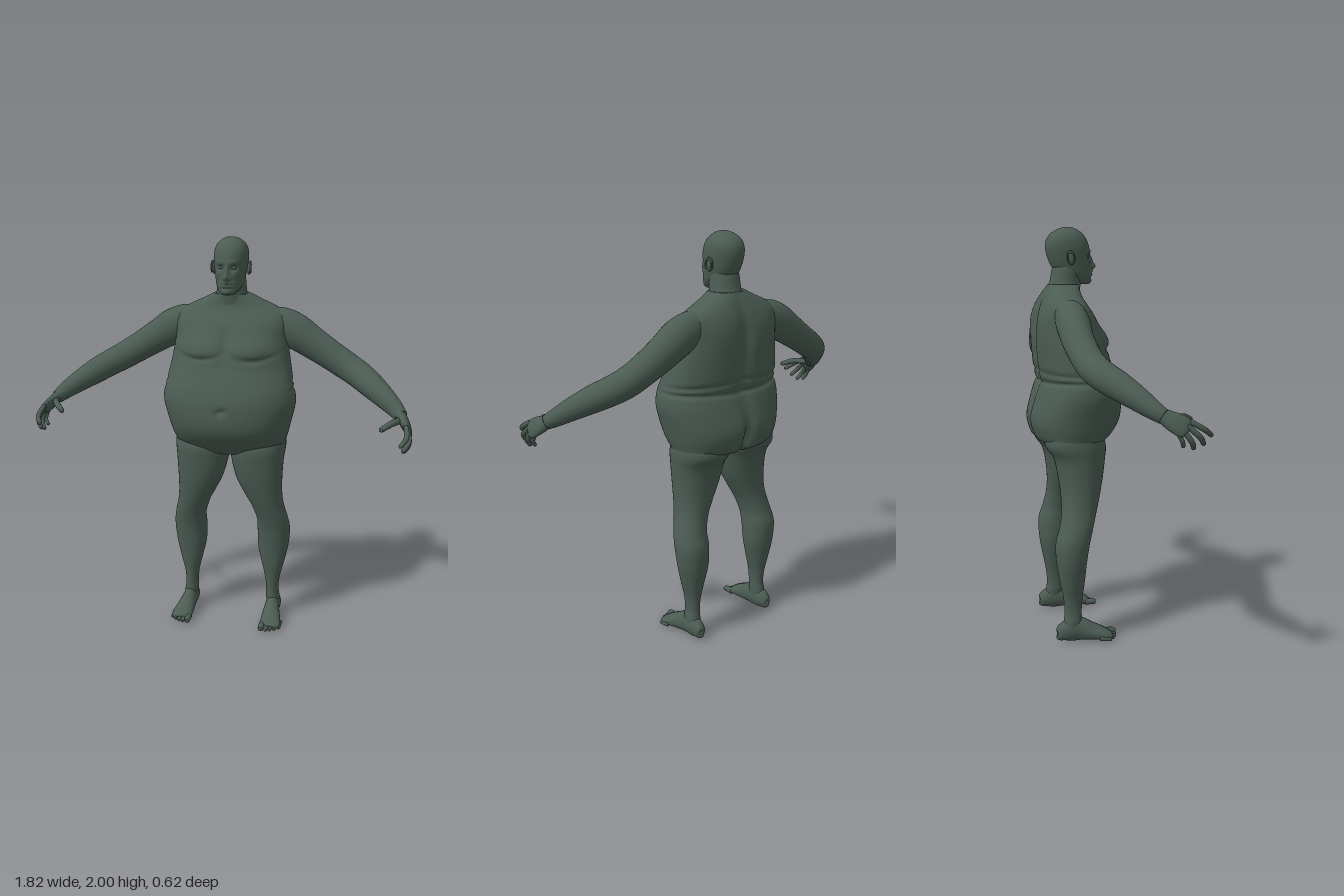
import * as THREE from 'three';

const skin = new THREE.MeshStandardMaterial({ color: 0x4b5c53, roughness: 0.8 });
const bell = (d, w) => Math.exp(-(d * d) / (w * w));

// Smooth interpolation through a list of equally long key rows
function sample(keys, t) {
  const f = t * (keys.length - 1), i = Math.min(Math.floor(f), keys.length - 2), u = f - i;
  const at = k => keys[Math.max(0, Math.min(keys.length - 1, k))];
  const [a, b, c, d] = [at(i - 1), at(i), at(i + 1), at(i + 2)];
  return b.map((_, k) => b[k] + 0.5 * u * (c[k] - a[k]
    + u * (2 * a[k] - 5 * b[k] + 4 * c[k] - d[k] + u * (3 * (b[k] - c[k]) + d[k] - a[k]))));
}

// Closed skin over rings; ring(t, angle) gives a point, both ends are capped
function skinOver(rows, cols, ring) {
  const pos = [], index = [];
  for (let i = 0; i <= rows; i++)
    for (let j = 0; j < cols; j++) pos.push(...ring(i / rows, j / cols * Math.PI * 2).toArray());
  for (let i = 0; i < rows; i++)
    for (let j = 0; j < cols; j++) {
      const k = (j + 1) % cols, a = i * cols + j, b = i * cols + k;
      index.push(a, b, b + cols, a, b + cols, a + cols);
    }
  for (const row of [0, rows]) {
    const mid = new THREE.Vector3(), c = pos.length / 3, s = row * cols;
    for (let j = 0; j < cols; j++) mid.add(new THREE.Vector3().fromArray(pos, (s + j) * 3));
    pos.push(...mid.divideScalar(cols).toArray());
    for (let j = 0; j < cols; j++) {
      const a = s + j, b = s + (j + 1) % cols;
      index.push(c, ...(row ? [a, b] : [b, a]));
    }
  }
  const g = new THREE.BufferGeometry();
  g.setAttribute('position', new THREE.Float32BufferAttribute(pos, 3));
  g.setIndex(index);
  g.computeVertexNormals();
  return g;
}

// Level rings going up, keys: [y, xMin, xMax, zFront, zBack]
function column(keys, rows, cols, power = 1, sculpt = () => {}) {
  return skinOver(rows, cols, (t, ang) => {
    const [y, x0, x1, zf, zb] = sample(keys, t);
    const round = v => Math.sign(v) * Math.abs(v) ** power;
    const p = new THREE.Vector3((x0 + x1) / 2 + (x1 - x0) / 2 * round(Math.cos(ang)), y,
      (zf + zb) / 2 - (zf - zb) / 2 * round(Math.sin(ang)));
    sculpt(p, -Math.sin(ang), (zf + zb) / 2);
    return p;
  });
}

// Rings across a path, keys: [x, y, z, radius across, radius along ref]
function limb(keys, ref = [0, 1, 0], rows = 30, cols = 24) {
  const up = new THREE.Vector3(...ref);
  const centre = t => new THREE.Vector3(...sample(keys, Math.max(0, Math.min(1, t))).slice(0, 3));
  return skinOver(rows, cols, (t, ang) => {
    const T = centre(t + 0.01).sub(centre(t - 0.01)).normalize();
    const U = up.clone().cross(T).normalize(), V = T.clone().cross(U);
    const [, , , a, b] = sample(keys, t);
    return centre(t).addScaledVector(U, Math.max(a, 0.001) * Math.cos(ang))
      .addScaledVector(V, Math.max(b, 0.001) * Math.sin(ang));
  });
}

// Finger or toe: three joints with a rounded tip
function digit([a, m, b], r, ref) {
  const tip = b.map((v, i) => v + (b[i] - m[i]) * 0.12), ball = b.map((v, i) => v - (b[i] - m[i]) * 0.12);
  return limb([[...a, r, r], [...m, r, r], [...ball, r * 0.85, r * 0.85], [...b, r * 0.6, r * 0.6],
    [...tip, 0.001, 0.001]], ref, 16, 12);
}

function sculptTorso(p, front, mid) {
  const ax = Math.abs(p.x), y = p.y;
  if (front > 0) {
    const f = Math.min(1, front * 2);
    p.z += f * 0.024 * bell(ax - 0.13, 0.1) * bell(y - 1.475, 0.06);                  // chest
    p.z -= f * 0.012 * bell(ax - 0.14, 0.1) * bell(y - 1.425 - (ax - 0.13) ** 2 * 2, 0.014);
    p.z -= f * 0.02 * bell(ax, 0.016) * bell(y - 1.185, 0.016);                       // navel
    p.z -= f * 0.012 * bell(ax, 0.022) * bell(y - 1.5, 0.08);
  } else {
    const f = Math.min(1, -front * 2);
    p.z += f * (0.022 * bell(ax, 0.035) * bell(y - 1.42, 0.22)                        // spine
      + 0.06 * bell(ax, 0.022) * bell(y - 1.0, 0.11));                                // cleft
    p.z -= f * 0.012 * bell(ax - 0.15, 0.08) * bell(y - 1.55, 0.08);                  // shoulder blades
  }
  // Folds around the flanks and back
  const side = Math.max(0, Math.min(1, 0.45 - front));
  const fold = side * (0.05 * bell(y - 1.265 - ax * 0.04, 0.011) + 0.03 * bell(y - 1.325 + ax * 0.05, 0.012));
  p.x *= 1 - fold;
  p.z = mid + (p.z - mid) * (1 - fold);
}

function sculptFace(p, front) {
  if (front <= 0) return;
  const ax = Math.abs(p.x), y = p.y, f = Math.min(1, front * 2);
  p.z += f * (0.024 * bell(ax, 0.011) * bell(y - 1.816, 0.017)       // nose tip
    + 0.014 * bell(ax, 0.01) * bell(y - 1.845, 0.025)                // bridge
    + 0.009 * bell(ax - 0.015, 0.008) * bell(y - 1.812, 0.009)       // nostrils
    + 0.005 * bell(ax - 0.03, 0.022) * bell(y - 1.884, 0.01)         // brows
    - 0.013 * bell(ax - 0.031, 0.017) * bell(y - 1.861, 0.013)       // eye sockets
    + 0.005 * bell(ax - 0.045, 0.018) * bell(y - 1.83, 0.02)         // cheekbones
    + 0.012 * bell(ax, 0.024) * bell(y - 1.783, 0.017)               // lips
    - 0.008 * bell(ax, 0.026) * bell(y - 1.783, 0.004)               // mouth line
    - 0.005 * bell(ax, 0.03) * bell(y - 1.763, 0.006)
    + 0.004 * bell(ax, 0.02) * bell(y - 1.747, 0.01));               // chin
}

export function createModel() {
  const model = new THREE.Group();
  model.name = 'figure';
  const add = (name, geo) => {
    const m = new THREE.Mesh(geo, skin);
    m.name = name;
    model.add(m);
  };
  // Adds a part on the left (+x) and its mirror image on the right
  const pair = (name, geo) => {
    add('left' + name, geo);
    const g = geo.clone().scale(-1, 1, 1), ix = g.index.array;
    for (let i = 0; i < ix.length; i += 3) [ix[i + 1], ix[i + 2]] = [ix[i + 2], ix[i + 1]];
    add('right' + name, g);
  };
  const even = rows => rows.map(([y, w, zf, zb]) => [y, -w, w, zf, zb]);

  add('torso', column(even([[0.935, 0.06, 0, -0.14], [0.95, 0.19, 0.02, -0.2], [0.98, 0.268, 0.05, -0.272],
    [1.03, 0.292, 0.097, -0.303], [1.1, 0.31, 0.13, -0.312], [1.2, 0.333, 0.132, -0.285],
    [1.27, 0.328, 0.118, -0.265], [1.33, 0.314, 0.096, -0.274], [1.4, 0.3, 0.066, -0.281],
    [1.47, 0.288, 0.045, -0.283], [1.53, 0.28, 0.022, -0.278], [1.59, 0.283, -0.005, -0.27],
    [1.635, 0.268, -0.035, -0.258], [1.67, 0.215, -0.055, -0.243], [1.7, 0.15, -0.06, -0.228],
    [1.73, 0.09, -0.06, -0.21]]), 150, 120, 0.88, sculptTorso));
  add('neck', column(even([[1.66, 0.12, -0.06, -0.235], [1.7, 0.092, -0.055, -0.22],
    [1.74, 0.075, -0.05, -0.202], [1.8, 0.07, -0.05, -0.19], [1.84, 0.06, -0.06, -0.18]]), 20, 40));
  add('head', column(even([[1.731, 0.02, -0.015, -0.06], [1.736, 0.034, -0.003, -0.075], [1.752, 0.05, 0.001, -0.11],
    [1.78, 0.064, 0, -0.155], [1.81, 0.071, -0.002, -0.188], [1.85, 0.078, -0.004, -0.208],
    [1.9, 0.083, -0.007, -0.221], [1.94, 0.08, -0.02, -0.216], [1.97, 0.066, -0.042, -0.194],
    [1.99, 0.042, -0.07, -0.16], [1.998, 0.02, -0.092, -0.136], [2, 0.003, -0.11, -0.116]]), 90, 96, 0.94, sculptFace));
  pair('Eye', new THREE.SphereGeometry(0.012, 20, 14).scale(1.15, 0.75, 1).translate(0.031, 1.861, -0.026));

  // Ears: a shallow shell with a raised rim
  pair('Ear', new THREE.SphereGeometry(1, 20, 14).scale(0.009, 0.031, 0.019)
    .rotateY(0.25).rotateX(-0.15).translate(0.086, 1.852, -0.115));
  pair('EarRim', new THREE.TorusGeometry(0.019, 0.0045, 8, 24, 5).rotateZ(-0.9).scale(0.85, 1.45, 1)
    .rotateY(Math.PI / 2 + 0.3).rotateX(-0.15).translate(0.093, 1.854, -0.116));

  pair('Leg', column([[0.03, 0.2, 0.258, -0.115, -0.2], [0.1, 0.19, 0.262, -0.1, -0.19],
    [0.15, 0.19, 0.255, -0.1, -0.184], [0.22, 0.184, 0.26, -0.095, -0.19], [0.3, 0.165, 0.28, -0.085, -0.205],
    [0.4, 0.143, 0.302, -0.075, -0.222], [0.5, 0.14, 0.31, -0.06, -0.225], [0.57, 0.138, 0.3, -0.043, -0.205],
    [0.65, 0.112, 0.28, -0.02, -0.19], [0.72, 0.075, 0.272, 0, -0.188], [0.8, 0.036, 0.272, 0.018, -0.195],
    [0.9, 0.01, 0.277, 0.032, -0.215], [0.98, 0.003, 0.285, 0.035, -0.26], [1.08, 0.03, 0.27, -0.01, -0.22]],
  60, 40, 0.95));
  pair('Foot', limb([[0.23, 0.035, -0.224, 0.008, 0.01], [0.23, 0.036, -0.216, 0.025, 0.03],
    [0.229, 0.052, -0.18, 0.036, 0.052], [0.228, 0.06, -0.12, 0.037, 0.06], [0.232, 0.045, -0.06, 0.045, 0.045],
    [0.238, 0.03, 0, 0.053, 0.03], [0.24, 0.02, 0.035, 0.05, 0.019], [0.24, 0.016, 0.048, 0.03, 0.01]]));
  for (let i = 0; i < 5; i++) {
    const x = 0.199 + i * 0.021 + (i ? 0.004 : 0), z = 0.08 - i * i * 0.0025, r = i ? 0.0105 : 0.016;
    pair('Toe' + (i + 1), digit([[x, 0.02, z - 0.06], [x, r + 0.005, z - 0.025], [x, r, z - 0.003]], r));
  }

  pair('Arm', limb([[0.18, 1.6, -0.155, 0.06, 0.06], [0.24, 1.585, -0.155, 0.072, 0.08],
    [0.31, 1.55, -0.155, 0.077, 0.088], [0.39, 1.5, -0.156, 0.073, 0.08], [0.48, 1.445, -0.15, 0.069, 0.073],
    [0.57, 1.392, -0.134, 0.067, 0.069], [0.64, 1.355, -0.1, 0.066, 0.066], [0.7, 1.32, -0.05, 0.062, 0.062],
    [0.77, 1.275, 0.01, 0.05, 0.052], [0.825, 1.235, 0.06, 0.038, 0.041], [0.853, 1.21, 0.095, 0.03, 0.033]],
  [0, 1, 0], 60, 36));
  const palmUp = [-0.86, -0.44, 0.14];
  pair('Palm', limb([[0.836, 1.228, 0.07, 0.03, 0.028], [0.853, 1.21, 0.098, 0.034, 0.026],
    [0.871, 1.19, 0.132, 0.043, 0.023], [0.885, 1.172, 0.165, 0.046, 0.018],
    [0.892, 1.162, 0.184, 0.038, 0.011], [0.894, 1.158, 0.19, 0.02, 0.004]], palmUp));
  const digits = {
    IndexFinger: [[0.88, 1.19, 0.2], [0.885, 1.155, 0.262], [0.86, 1.125, 0.302]],
    MiddleFinger: [[0.888, 1.175, 0.183], [0.896, 1.13, 0.235], [0.872, 1.092, 0.265]],
    RingFinger: [[0.89, 1.162, 0.162], [0.897, 1.112, 0.2], [0.875, 1.076, 0.22]],
    LittleFinger: [[0.886, 1.155, 0.14], [0.892, 1.115, 0.162], [0.875, 1.086, 0.174]],
    Thumb: [[0.85, 1.2, 0.125], [0.815, 1.2, 0.19], [0.768, 1.18, 0.242]],
  };
  for (const [name, joints] of Object.entries(digits))
    pair(name, digit(joints, name === 'Thumb' ? 0.015 : name === 'LittleFinger' ? 0.01 : 0.012, palmUp));
  return model;
}
